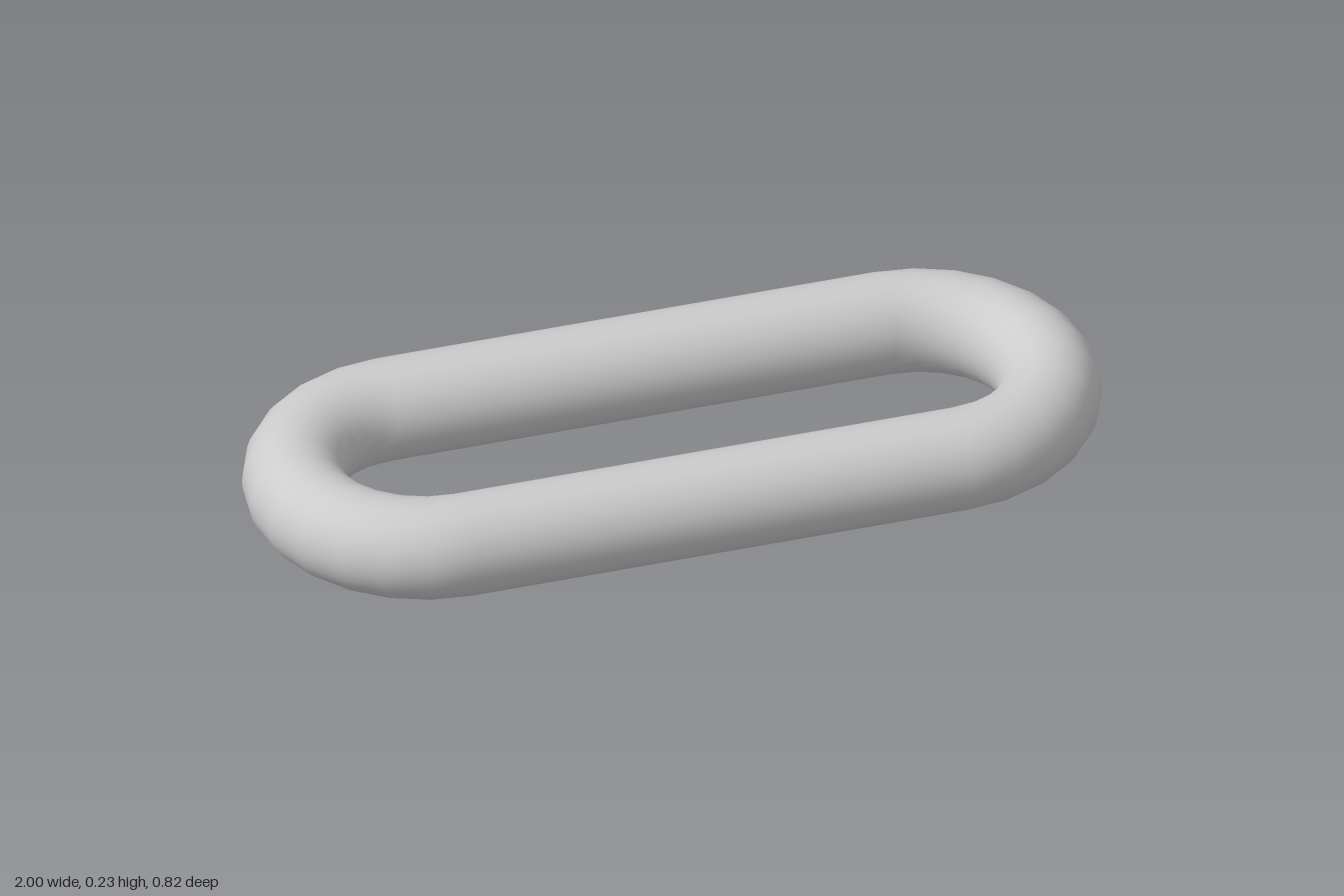
import * as THREE from 'three';

const TUBE = 0.117;        // radius of the round bar
const BEND = 0.293;        // centreline radius of the end bends
const HALF = 1 - BEND - TUBE; // half length of the straight bars
const SIDES = 32;

export function createModel() {
  const link = new THREE.Group();
  link.name = 'chainLink';
  const material = new THREE.MeshStandardMaterial({ color: 0xcccccc });

  // half-ring bend opening towards -x, lying flat
  const bendGeometry = new THREE.TorusGeometry(BEND, TUBE, SIDES, 12, Math.PI)
    .rotateZ(-Math.PI / 2)
    .rotateX(Math.PI / 2);
  // straight bar along x, open where it meets the bends
  const barGeometry = new THREE.CylinderGeometry(TUBE, TUBE, 2 * HALF, SIDES, 1, true)
    .rotateZ(Math.PI / 2);

  for (const side of [1, -1]) {
    const bend = new THREE.Mesh(bendGeometry, material);
    bend.name = side > 0 ? 'leftBend' : 'rightBend';
    bend.position.set(side * HALF, TUBE, 0);
    bend.rotation.y = side > 0 ? 0 : Math.PI;

    const bar = new THREE.Mesh(barGeometry, material);
    bar.name = side > 0 ? 'frontBar' : 'backBar';
    bar.position.set(0, TUBE, side * BEND);
    link.add(bend, bar);
  }
  return link;
}
